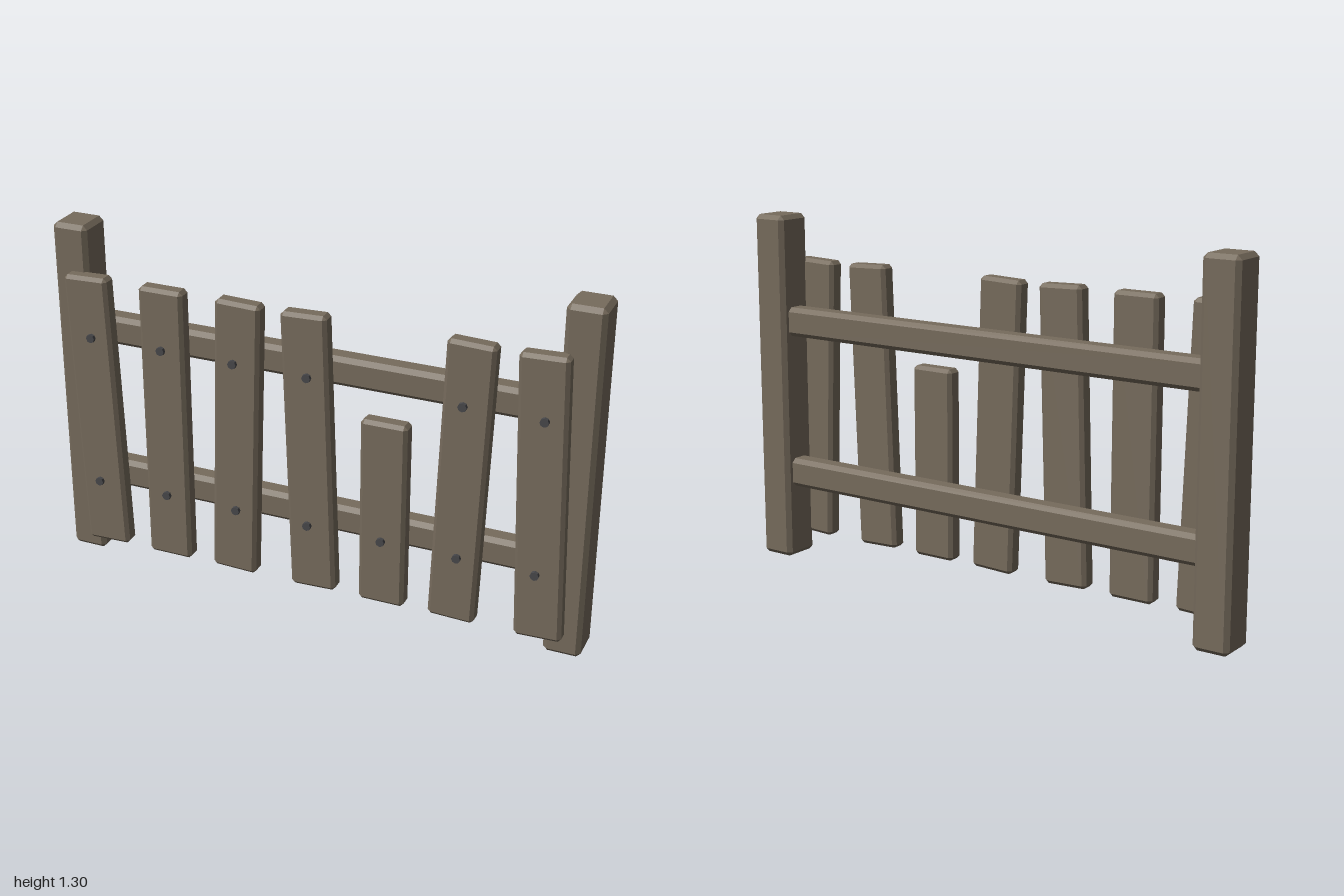
import * as THREE from 'three';
import { ConvexGeometry } from 'three/addons/geometries/ConvexGeometry.js';

// Box with every edge and corner cut by c
function chamferBox(w, h, d, c) {
  const pts = [];
  for (const x of [-1, 1]) for (const y of [-1, 1]) for (const z of [-1, 1]) {
    for (let axis = 0; axis < 3; axis++) {
      const cut = [c, c, c];
      cut[axis] = 0;
      pts.push(new THREE.Vector3(x * (w / 2 - cut[0]), y * (h / 2 - cut[1]), z * (d / 2 - cut[2])));
    }
  }
  return new ConvexGeometry(pts);
}

export function createModel() {
  const group = new THREE.Group();
  const wood = new THREE.MeshStandardMaterial({ color: 0x766b5c });
  wood.name = 'weathered wood';
  const iron = new THREE.MeshStandardMaterial({ color: 0x47474a });
  iron.name = 'dark iron';

  const add = (name, geometry, material, x, y, z) => {
    const mesh = new THREE.Mesh(geometry, material);
    mesh.name = name;
    mesh.position.set(x, y, z);
    group.add(mesh);
    return mesh;
  };

  // End posts
  const post = chamferBox(0.135, 1.3, 0.145, 0.016);
  add('rightPost', post, wood, -0.9325, 0.65, -0.0275);
  add('leftPost', post, wood, 0.9325, 0.65, -0.0275);

  // Horizontal rails running into the posts
  const railHeights = [0.328, 0.905];
  const rail = chamferBox(1.8, 0.108, 0.082, 0.016);
  for (const y of railHeights) add('rail', rail, wood, 0, y, -0.031);

  // Crooked pickets, one broken short, with a bolt at each rail
  const bolt = new THREE.CylinderGeometry(0.016, 0.016, 0.03, 8).toNonIndexed();
  bolt.rotateX(Math.PI / 2);
  bolt.computeVertexNormals();
  const tilts = [0.035, 0, -0.032, 0.035, 0, -0.035, 0.035];
  const bottom = 0.072;
  tilts.forEach((tilt, i) => {
    const x = (i - 3) * 0.279;
    const height = i === 5 - 1 ? 0.712 : 1.06;
    const picket = add('picket', chamferBox(0.17, height, 0.065, 0.013), wood, x, bottom + height / 2, 0.0575);
    picket.rotation.z = tilt;
    for (const y of railHeights) {
      if (y < bottom + height) add('bolt', bolt, iron, x, y, 0.088);
    }
  });

  return group;
}
